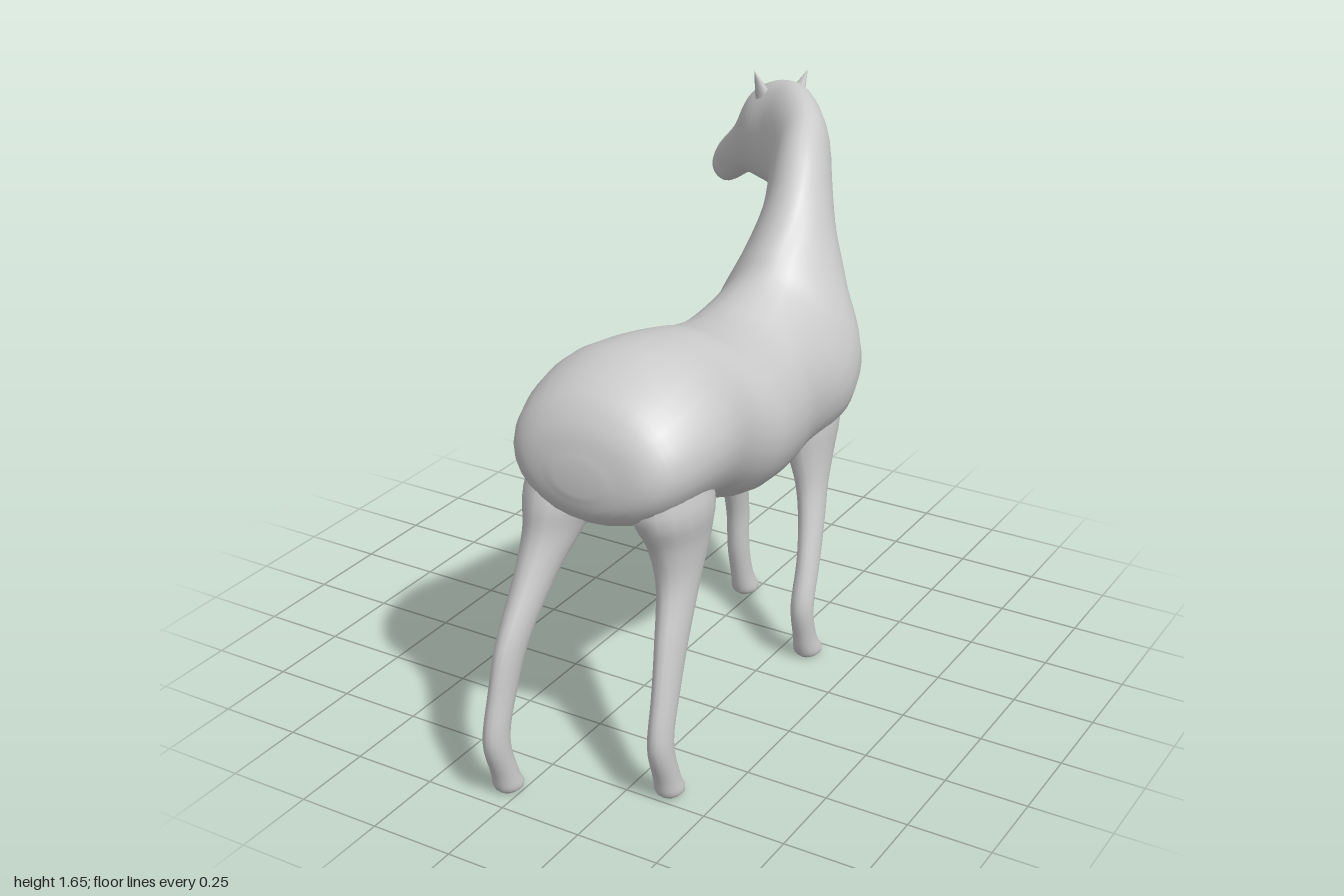
import * as THREE from 'three';

const V = (x, y, z) => new THREE.Vector3(x, y, z);
const { lerp, smoothstep } = THREE.MathUtils;
const material = new THREE.MeshStandardMaterial({ color: 0xcccccc });

// Smooth closed skin through a list of rings (arrays of points of equal length)
function loft(name, rings, steps) {
  const n = rings[0].length, rows = (rings.length - 1) * steps;
  const middle = (r) => r.reduce((s, p) => s.add(p), V(0, 0, 0)).divideScalar(n);
  const columns = rings[0].map((_, j) =>
    new THREE.CatmullRomCurve3(rings.map((r) => r[j]), false, 'catmullrom', 0.5));
  const points = [], index = [];
  for (let i = 0; i <= rows; i++) {
    for (const c of columns) points.push(c.getPoint(i / rows));
  }
  const start = points.length, end = start + 1, last = rows * n;
  points.push(middle(rings[0]), middle(rings.at(-1)));
  for (let j = 0; j < n; j++) {
    const k = (j + 1) % n;
    for (let a = 0; a < last; a += n) {
      const b = a + n;
      index.push(a + j, b + j, a + k, a + k, b + j, b + k);
    }
    index.push(start, j, k, end, last + k, last + j);
  }
  const geometry = new THREE.BufferGeometry().setFromPoints(points);
  geometry.setIndex(index);
  geometry.computeVertexNormals();
  const mesh = new THREE.Mesh(geometry, material);
  mesh.name = name;
  return mesh;
}

// Ring around a centre spanned by two half axes; taper narrows its upper side
function ring(centre, side, up, taper, n) {
  return Array.from({ length: n }, (_, j) => {
    const t = (j / n) * Math.PI * 2, s = Math.sin(t);
    return centre.clone()
      .addScaledVector(side, Math.cos(t) * (1 - taper * s))
      .addScaledVector(up, s);
  });
}

// Barrel from rump to chest: back y, back z, belly y, belly z, half width
const barrel = [
  [1.02, .805, .93, .812, .07],
  [1.12, .77, .86, .79, .2],
  [1.2, .69, .81, .71, .268],
  [1.255, .52, .78, .52, .297],
  [1.23, .3, .71, .3, .262],
  [1.185, .15, .66, .15, .28],
  [1.165, .01, .645, -.02, .26],
  [1.185, -.08, .65, -.2, .235],
  [1.235, -.18, .69, -.38, .242],
  [1.29, -.24, .81, -.455, .225],
].map(([y, z, y2, z2, w]) => ({ top: V(.143, y, z), low: V(.143, y2, z2), w }));

// Turned neck and head: crest point, throat point, half width
const neck = [
  { top: V(.145, 1.37, -.33), low: V(.11, .96, -.51), w: .165 },
  { top: V(.13, 1.46, -.42), low: V(.08, 1.1, -.56), w: .118 },
  { top: V(.09, 1.55, -.53), low: V(.04, 1.2, -.62), w: .1 },
  { top: V(.03, 1.61, -.67), low: V(-.02, 1.27, -.69), w: .094 },
  { top: V(-.09, 1.637, -.81), low: V(-.1, 1.29, -.765), w: .093 },
  { top: V(-.23, 1.59, -.87), low: V(-.18, 1.29, -.835), w: .092 },
  { top: V(-.32, 1.46, -.905), low: V(-.28, 1.288, -.89), w: .064 },
  { top: V(-.42, 1.36, -.95), low: V(-.36, 1.24, -.94), w: .046 },
  { top: V(-.453, 1.3, -.963), low: V(-.4, 1.222, -.957), w: .039 },
  { top: V(-.453, 1.265, -.968), low: V(-.428, 1.232, -.966), w: .018 },
];

function makeTrunk() {
  const sections = [...barrel, ...neck];
  const centres = sections.map(({ top, low }) => top.clone().lerp(low, .5));
  const rings = sections.map(({ top, low, w }, i) => {
    const c = centres[i];
    const ahead = (centres[i + 1] ?? c).clone().sub(centres[i - 1] ?? c);
    const up = top.clone().sub(c);
    const side = ahead.cross(up).normalize().multiplyScalar(w);
    // the withers are narrower than the shoulders
    const taper = .33 * Math.exp(-(((c.z + .34) / .12) ** 2));
    return ring(c, side, up, taper, 28);
  });
  return loft('bodyNeckAndHead', rings, 5);
}

// Leg profiles from hoof up: y, z, half width, half depth
const hindProfile = [
  [.012, .70, .026, .03], [.03, .70, .042, .047], [.08, .718, .038, .042],
  [.2, .75, .034, .046], [.34, .715, .034, .054], [.48, .665, .04, .066],
  [.64, .6, .054, .085], [.76, .58, .076, .125], [.88, .6, .1, .155],
  [1.06, .61, .06, .1],
];
const frontProfile = [
  [.012, -.18, .028, .033], [.03, -.18, .043, .049], [.09, -.155, .036, .04],
  [.2, -.135, .035, .039], [.33, -.18, .034, .045], [.45, -.225, .038, .052],
  [.56, -.26, .046, .066], [.66, -.285, .064, .1], [.78, -.3, .09, .135],
  [.92, -.29, .08, .11],
];

// Leg leaning in from hoof to body; swing moves the lower leg along z
function makeLeg(name, profile, hoofX, topX, swing, low, high) {
  const rings = profile.map(([y, z, w, d]) => {
    const x = lerp(hoofX, topX, smoothstep(y, .2, 1.1));
    const shift = swing * (1 - smoothstep(y, low, high));
    return ring(V(x, y, z + shift), V(w, 0, 0), V(0, 0, d), 0, 16);
  });
  return loft(name, rings, 4);
}

// Small pointed ear from base to tip
function makeEar(name, base, tip) {
  const axis = tip.clone().sub(base);
  const geometry = new THREE.ConeGeometry(.036, axis.length(), 12, 3);
  geometry.scale(1, 1, .65);
  const ear = new THREE.Mesh(geometry, material);
  ear.quaternion.setFromUnitVectors(V(0, 1, 0), axis.clone().normalize());
  ear.position.copy(base).addScaledVector(axis, .5);
  ear.name = name;
  return ear;
}

export function createModel() {
  const model = new THREE.Group();
  model.name = 'horse';
  model.add(
    makeTrunk(),
    makeLeg('hindLegPlusX', hindProfile, .362, .3, 0, .5, 1),
    makeLeg('hindLegMinusX', hindProfile, -.04, .0, .21, .5, 1),
    makeLeg('frontLegPlusX', frontProfile, .335, .22, 0, .15, .7),
    makeLeg('frontLegMinusX', frontProfile, -.03, .04, -.255, .15, .7),
    makeEar('earPlusX', V(-.125, 1.55, -.885), V(-.095, 1.65, -.918)),
    makeEar('earMinusX', V(-.185, 1.56, -.805), V(-.208, 1.665, -.77)),
  );
  return model;
}
